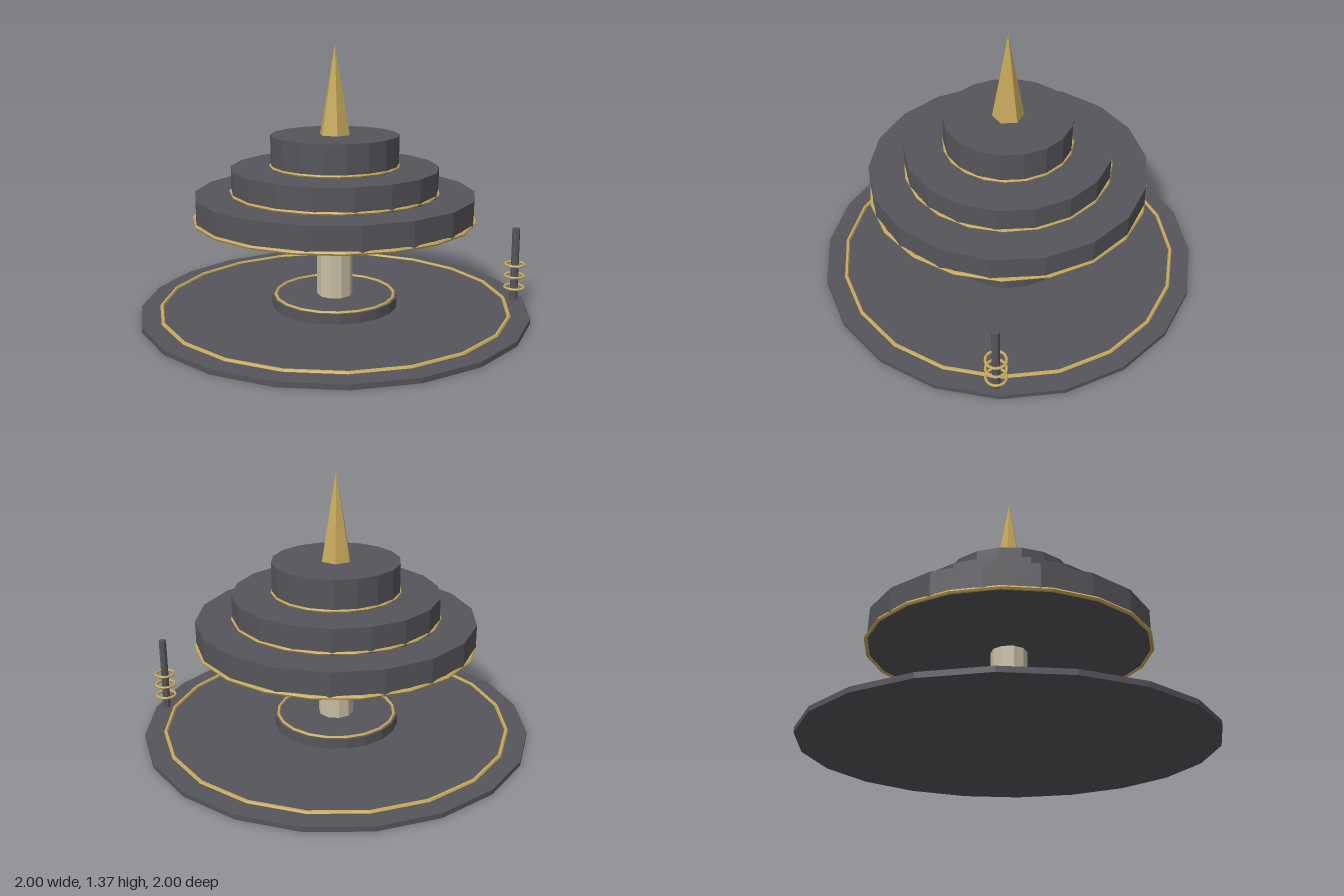
import * as THREE from 'three';

export function createModel() {
  const model = new THREE.Group();
  model.name = 'tieredPavilion';

  const make = (name, color) => {
    const m = new THREE.MeshStandardMaterial({ color, flatShading: true });
    m.name = name;
    return m;
  };
  const slate = make('darkSlate', 0x56555b);
  const gold = make('gold', 0xc8a95c);
  const ivory = make('ivory', 0xc9bfa5);

  const add = (parent, name, geometry, material, x, y, z) => {
    const mesh = new THREE.Mesh(geometry, material);
    mesh.name = name;
    mesh.position.set(x, y, z);
    parent.add(mesh);
  };
  // Upright prism between two heights
  const drum = (parent, name, radius, y0, y1, sides, material, x = 0, z = 0) =>
    add(parent, name, new THREE.CylinderGeometry(radius, radius, y1 - y0, sides), material, x, (y0 + y1) / 2, z);
  // Horizontal trim ring
  const ring = (parent, name, radius, tube, y, sides = 20, x = 0, z = 0) =>
    add(parent, name, new THREE.TorusGeometry(radius, tube, 6, sides).rotateX(Math.PI / 2), gold, x, y, z);

  // Ground disc and pedestal
  drum(model, 'baseDisc', 1, 0, 0.025, 20, slate);
  ring(model, 'baseTrim', 0.895, 0.01, 0.028);
  drum(model, 'pedestal', 0.325, 0.025, 0.077, 20, slate);
  ring(model, 'pedestalTrim', 0.307, 0.008, 0.079);

  // Central column
  drum(model, 'column', 0.092, 0.075, 0.5, 10, ivory);

  // Stacked tiers, each with a trim ring around its lower edge
  const tiers = [
    [0.714, 0.495, 0.62, 0.01],
    [0.529, 0.62, 0.75, 0.008],
    [0.326, 0.75, 0.914, 0.008],
  ];
  tiers.forEach(([radius, y0, y1, tube], i) => {
    drum(model, `tier${i + 1}`, radius, y0, y1, 18, slate);
    ring(model, `tierTrim${i + 1}`, radius - 0.001, tube, y0 + (i ? 0.009 : 0.002));
  });

  // Six-sided spire
  add(model, 'spire', new THREE.ConeGeometry(0.08, 0.452, 6), gold, 0, 1.14, 0);

  // Ringed post near the rim
  const post = new THREE.Group();
  post.name = 'ringedPost';
  post.position.set(0.57, 0, -0.755);
  model.add(post);
  drum(post, 'postShaft', 0.02, 0.02, 0.415, 8, slate);
  [0.095, 0.158, 0.22].forEach((y, i) => ring(post, `postRing${i + 1}`, 0.05, 0.007, y, 14));

  return model;
}
